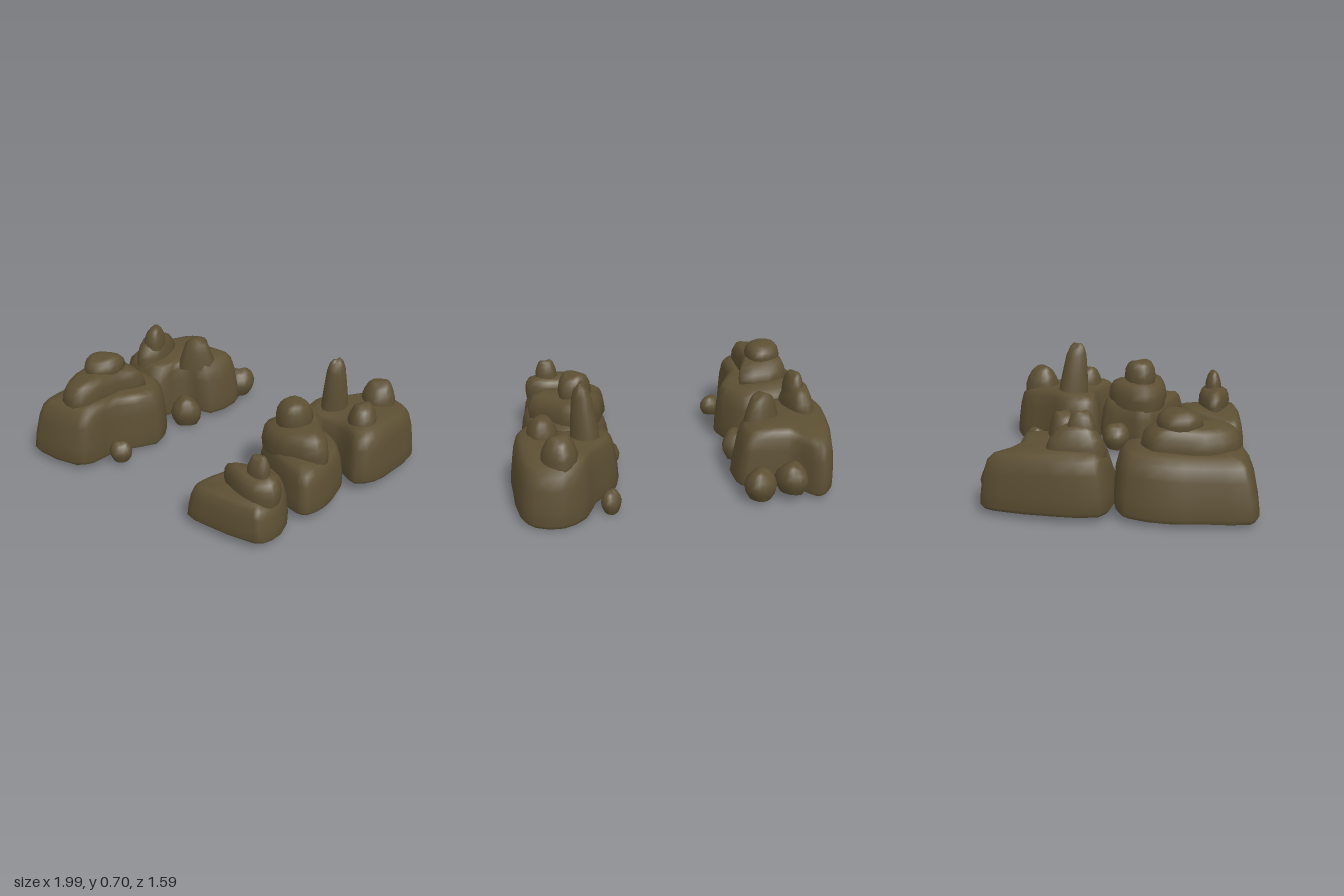
import * as THREE from 'three';

const stone = new THREE.MeshStandardMaterial({ color: 0x5c4f33, side: THREE.DoubleSide });
stone.name = 'brown stone';

// Side profiles: [height 0..1, scale of the outline]
const BIG = [[0, 0.96], [0.07, 1], [0.3, 0.985], [0.65, 0.94], [0.86, 0.88], [0.96, 0.79], [1, 0.62]];
const SLAB = [[0, 0.97], [0.35, 1], [0.65, 0.96], [0.88, 0.84], [1, 0.6]];
const CAP = [[0, 0.94], [0.3, 1], [0.65, 0.93], [0.9, 0.75], [1, 0.52]];
const KNOB = [[0, 1], [0.35, 0.98], [0.6, 0.87], [0.88, 0.66], [1, 0.46]];
const PEAK = [[0, 1], [0.3, 0.93], [0.6, 0.78], [0.9, 0.62], [1, 0.42]];
const PEBBLE = [[0, 0.68], [0.25, 0.92], [0.5, 1], [0.75, 0.86], [0.93, 0.6], [1, 0.35]];
const SPIRE = [[0, 1], [0.25, 0.93], [0.5, 0.82], [0.8, 0.66], [0.94, 0.48], [1, 0.26]];

// Open-bottomed rock lofted from an outline seen from above;
// lean shifts the top, tilt slopes the base and the top along z
function rock(name, outline, y0, y1, profile, lean = [0, 0], tilt = [0, 0]) {
  const curve = new THREE.CatmullRomCurve3(
    outline.map(([x, z]) => new THREE.Vector3(x, 0, z)), true, 'centripetal');
  const n = outline.length * 2;
  const ring = Array.from({ length: n }, (_, i) => curve.getPoint(i / n));
  const box = new THREE.Box3().setFromPoints(ring);
  const c = box.getCenter(new THREE.Vector3());
  const h = y1 - y0, pos = [], idx = [];
  profile.forEach(([t, s]) => ring.forEach((p, i) => {
    const wave = Math.sin(i * 4 * Math.PI / n + c.x * 9 + c.z * 5) * Math.min(0.012, h * 0.05);
    const dz = (p.z - c.z) * s;
    pos.push(c.x + (p.x - c.x) * s + lean[0] * t,
      y0 + h * t + wave * (t > 0.5 ? 1 : 0.5) + dz * THREE.MathUtils.lerp(tilt[0], tilt[1], t),
      c.z + dz + lean[1] * t);
  }));
  const top = pos.length / 3, last = (profile.length - 1) * n;
  pos.push(c.x + lean[0], y1 + Math.min(0.01, h * 0.04), c.z + lean[1]);
  for (let i = 0; i < n; i++) {
    const j = (i + 1) % n;
    for (let r = 0; r < last; r += n) {
      idx.push(r + i, r + n + i, r + j, r + j, r + n + i, r + n + j);
    }
    idx.push(last + i, top, last + j);
  }
  const geo = new THREE.BufferGeometry();
  geo.setAttribute('position', new THREE.Float32BufferAttribute(pos, 3));
  geo.setIndex(idx);
  geo.computeVertexNormals();
  const mesh = new THREE.Mesh(geo, stone);
  mesh.name = name;
  return mesh;
}

// Irregular oval outline for the smaller stones
function oval(x, z, rx, rz) {
  return Array.from({ length: 7 }, (_, i) => {
    const a = i * 2 * Math.PI / 7 + x * 5;
    const k = 1 + 0.08 * Math.sin(i * 2.3 + z * 20);
    return [x + Math.cos(a) * rx * k, z + Math.sin(a) * rz * k];
  });
}

export function createModel() {
  const model = new THREE.Group();
  model.name = 'rockFormation';
  const rightRow = new THREE.Group(), leftRow = new THREE.Group();
  rightRow.name = 'rightRockRow';
  leftRow.name = 'leftRockRow';
  model.add(rightRow, leftRow);

  // Right row: front boulder with a slab and a cap
  rightRow.add(
    rock('frontBoulder', [[-0.85, 0], [-0.57, -0.01], [-0.46, 0.06], [-0.38, 0.23], [-0.51, 0.46], [-0.52, 0.68],
      [-0.59, 0.77], [-0.9, 0.79], [-0.97, 0.75], [-0.98, 0.5], [-1, 0.28], [-0.94, 0.06]], 0.025, 0.385, BIG, [0.01, -0.02]),
    rock('frontSlab', [[-0.85, 0.2], [-0.72, 0.13], [-0.53, 0.17], [-0.59, 0.35], [-0.59, 0.6], [-0.66, 0.69],
      [-0.78, 0.66], [-0.86, 0.5], [-0.86, 0.33]], 0.33, 0.51, SLAB),
    rock('frontCap', oval(-0.72, 0.34, 0.115, 0.13), 0.49, 0.59, CAP),
    // Back boulder with two peaks
    rock('backBoulder', [[-0.76, -0.77], [-0.68, -0.67], [-0.6, -0.6], [-0.37, -0.59], [-0.32, -0.5], [-0.36, -0.28],
      [-0.56, -0.24], [-0.59, -0.02], [-0.8, -0.02], [-0.95, -0.08], [-0.95, -0.35], [-0.88, -0.65], [-0.82, -0.75]],
    0.03, 0.375, BIG, [-0.02, 0], [0, 0.04]),
    rock('ridgePeak', [[-0.84, -0.37], [-0.77, -0.39], [-0.71, -0.28], [-0.7, -0.12], [-0.79, -0.05], [-0.87, -0.12],
      [-0.87, -0.28]], 0.34, 0.51, KNOB),
    rock('ridgeCap', oval(-0.77, -0.19, 0.065, 0.085), 0.44, 0.585, KNOB),
    rock('innerPeak', [[-0.64, -0.33], [-0.55, -0.41], [-0.43, -0.41], [-0.41, -0.33], [-0.5, -0.25], [-0.6, -0.23]],
      0.32, 0.515, PEAK));

  // Left row: low front boulder
  leftRow.add(
    rock('frontBoulder', [[0.44, 0.38], [0.6, 0.3], [0.75, 0.38], [0.84, 0.57], [0.82, 0.7], [0.78, 0.74],
      [0.42, 0.77], [0.31, 0.75], [0.28, 0.68], [0.36, 0.52]], 0.035, 0.265, BIG, [0, 0], [0, -0.08]),
    rock('frontSlab', [[0.44, 0.58], [0.52, 0.5], [0.68, 0.47], [0.8, 0.52], [0.82, 0.62], [0.72, 0.68], [0.56, 0.65]],
      0.23, 0.38, SLAB),
    rock('frontCap', oval(0.68, 0.57, 0.075, 0.055), 0.36, 0.485, KNOB),
    // Middle stack
    rock('middleBoulder', [[0.42, -0.02], [0.5, -0.17], [0.6, -0.2], [0.7, -0.18], [0.82, -0.08], [0.86, 0.03],
      [0.89, 0.2], [0.86, 0.35], [0.8, 0.37], [0.6, 0.3], [0.4, 0.18], [0.34, 0.1]], 0.045, 0.315, BIG),
    rock('middleSlab', [[0.37, 0.12], [0.48, -0.08], [0.6, -0.14], [0.72, -0.02], [0.84, 0.12], [0.82, 0.2],
      [0.62, 0.25], [0.45, 0.21]], 0.27, 0.45, SLAB),
    rock('middleCap', oval(0.56, 0.07, 0.105, 0.105), 0.43, 0.58, CAP),
    // Back boulder with a tall spire and two knobs
    rock('backBoulder', [[0.74, -0.79], [0.9, -0.75], [0.97, -0.65], [0.99, -0.4], [0.98, -0.2], [0.9, -0.09],
      [0.78, -0.15], [0.66, -0.2], [0.42, -0.19], [0.36, -0.26], [0.38, -0.43], [0.52, -0.57], [0.6, -0.72]],
    0.03, 0.37, BIG, [0, 0], [0.07, 0.02]),
    rock('spire', oval(0.55, -0.38, 0.085, 0.105), 0.33, 0.685, SPIRE, [0.015, 0.03]),
    rock('sideKnob', oval(0.8, -0.305, 0.09, 0.1), 0.33, 0.475, KNOB),
    rock('backKnob', oval(0.73, -0.61, 0.1, 0.115), 0.33, 0.49, KNOB));

  // Loose stones on the ground: [row, name, x, z, rx, rz, bottom, top]
  [
    [rightRow, 'backStone', -0.615, -0.695, 0.1, 0.1, 0.05, 0.22],
    [rightRow, 'backCornerStone', -0.425, -0.68, 0.1, 0.1, 0.02, 0.19],
    [rightRow, 'innerStone', -0.445, -0.115, 0.105, 0.09, 0.01, 0.19],
    [rightRow, 'frontPebble', -0.43, 0.525, 0.075, 0.065, 0.03, 0.15],
    [leftRow, 'innerStone', 0.4, -0.08, 0.09, 0.1, 0.02, 0.18],
    [leftRow, 'innerPebble', 0.375, 0.295, 0.055, 0.065, 0.02, 0.13],
    [leftRow, 'backPebble', 0.45, -0.63, 0.06, 0.07, 0.0, 0.13],
  ].forEach(([row, name, x, z, rx, rz, y0, y1]) => row.add(rock(name, oval(x, z, rx, rz), y0, y1, PEBBLE)));

  return model;
}
